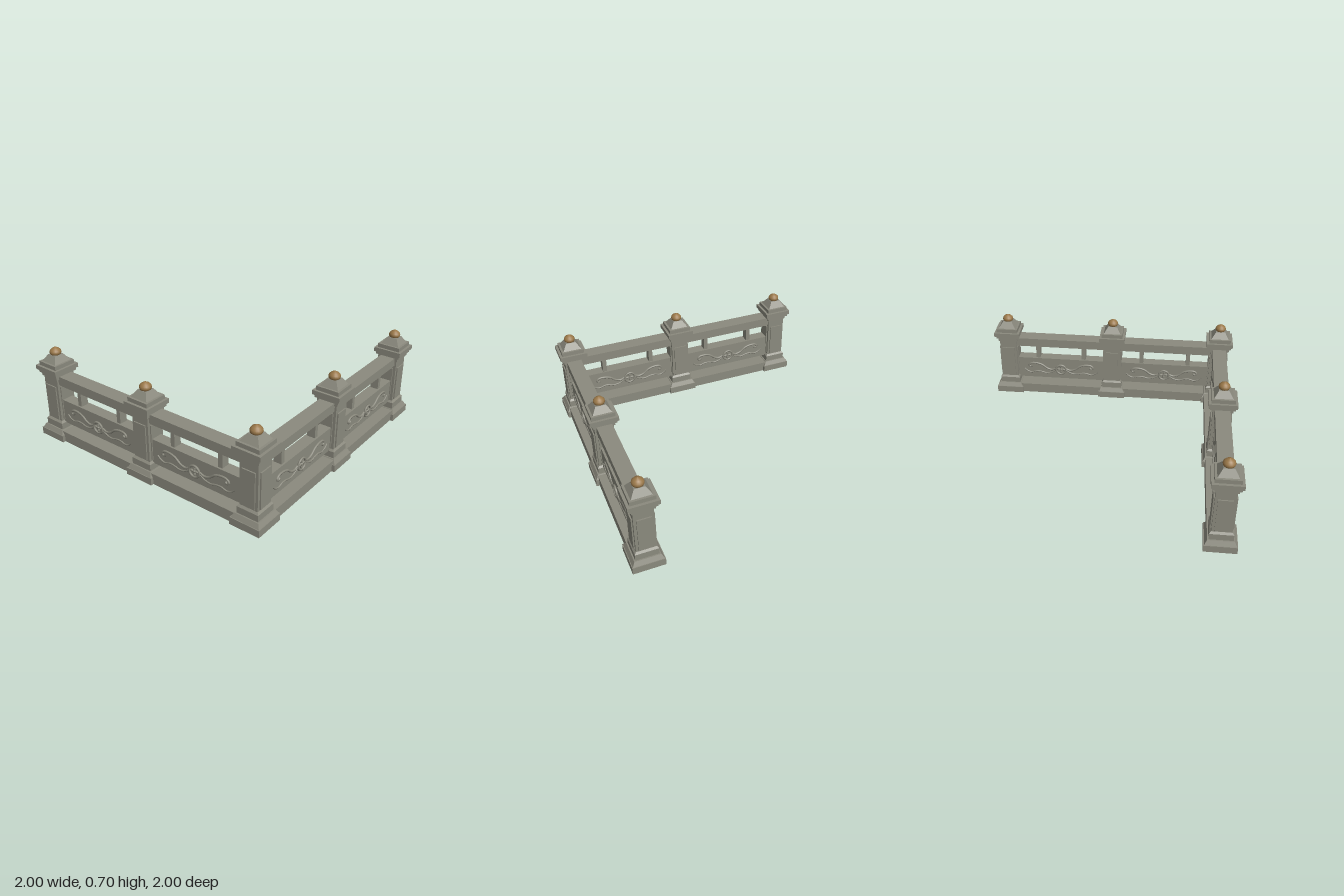
import * as THREE from 'three';

const stone = new THREE.MeshStandardMaterial({ color: 0x8b8a7e });
stone.name = 'weathered stone';
const bronze = new THREE.MeshStandardMaterial({ color: 0x9a7849 });
bronze.name = 'bronze';

const SPAN = 0.886; // distance between post centres

function add(parent, name, geometry, x = 0, y = 0, z = 0, material = stone) {
  const mesh = new THREE.Mesh(geometry, material);
  mesh.name = name;
  mesh.position.set(x, y, z);
  parent.add(mesh);
  return mesh;
}

// Box given by its bottom and top heights
function slab(parent, name, w, y0, y1, d, x = 0, z = 0) {
  return add(parent, name, new THREE.BoxGeometry(w, y1 - y0, d), x, (y0 + y1) / 2, z);
}

// Square frustum given by its bottom and top widths
function frustum(parent, name, w0, w1, y0, y1) {
  const g = new THREE.CylinderGeometry(w1 * Math.SQRT1_2, w0 * Math.SQRT1_2, y1 - y0, 4).toNonIndexed();
  g.rotateY(Math.PI / 4);
  g.computeVertexNormals();
  return add(parent, name, g, 0, (y0 + y1) / 2, 0);
}

function createPost() {
  const post = new THREE.Group();
  post.name = 'post';
  // Stepped foot
  slab(post, 'footSlab', 0.226, 0, 0.053, 0.226);
  frustum(post, 'footSlope', 0.216, 0.182, 0.053, 0.085);
  slab(post, 'plinth', 0.164, 0.085, 0.132, 0.164);
  frustum(post, 'plinthSlope', 0.164, 0.14, 0.132, 0.146);
  // Shaft with a raised panel on each side
  slab(post, 'shaft', 0.138, 0.14, 0.487, 0.138);
  for (let i = 0; i < 4; i++) {
    const side = new THREE.Group();
    side.name = 'shaftPanel';
    side.rotation.y = i * Math.PI / 2;
    slab(side, 'panelPlate', 0.1, 0.155, 0.42, 0.012, 0, 0.072);
    post.add(side);
  }
  // Stepped cap
  slab(post, 'capNeck', 0.158, 0.485, 0.512, 0.158);
  slab(post, 'capStep', 0.184, 0.512, 0.535, 0.184);
  slab(post, 'capSlab', 0.21, 0.535, 0.567, 0.21);
  slab(post, 'capUpperStep', 0.172, 0.567, 0.597, 0.172);
  frustum(post, 'capRoof', 0.14, 0.074, 0.597, 0.646);
  // Bud finial
  const profile = [[0, 0.64], [0.028, 0.641], [0.038, 0.649], [0.042, 0.662], [0.039, 0.675],
    [0.028, 0.687], [0.012, 0.696], [0, 0.701]].map(([r, y]) => new THREE.Vector2(r, y));
  add(post, 'finial', new THREE.LatheGeometry(profile, 20), 0, 0, 0, bronze);
  return post;
}

function tube(points, radius) {
  const curve = new THREE.CatmullRomCurve3(points.map(([x, y]) => new THREE.Vector3(x, y, 0)));
  return new THREE.TubeGeometry(curve, 40, radius, 8);
}

// Scroll relief with a round medallion, centred on the panel
function createRelief() {
  const relief = new THREE.Group();
  relief.name = 'relief';
  const ring = add(relief, 'medallionRing', new THREE.TorusGeometry(0.042, 0.008, 8, 28));
  ring.position.z = 0.006;
  for (let i = 0; i < 4; i++) {
    const a = i * Math.PI / 2;
    const petal = add(relief, 'medallionSpoke', new THREE.SphereGeometry(1, 10, 8),
      Math.cos(a) * 0.021, Math.sin(a) * 0.021, 0.002);
    petal.scale.set(0.02, 0.008, 0.009);
    petal.rotation.z = a;
  }
  const hub = add(relief, 'medallionHub', new THREE.SphereGeometry(0.011, 12, 8));
  hub.position.z = 0.003;
  // Upper curling vine and lower trailing vine on both sides
  const upper = [[0.045, 0.005], [0.08, -0.008], [0.12, 0.003], [0.165, 0.036], [0.215, 0.05],
    [0.26, 0.046], [0.277, 0.026], [0.262, 0.014], [0.248, 0.024]];
  const lower = [[0.046, -0.012], [0.085, -0.035], [0.13, -0.043], [0.175, -0.032],
    [0.215, -0.03], [0.26, -0.042], [0.295, -0.03], [0.32, -0.008]];
  for (const s of [-1, 1]) {
    const mirror = (pts) => pts.map(([x, y]) => [x * s, y]);
    add(relief, 'upperVine', tube(mirror(upper), 0.0085));
    add(relief, 'lowerVine', tube(mirror(lower), 0.006));
  }
  return relief;
}

// One railing section running along x between two posts
function createBay() {
  const bay = new THREE.Group();
  bay.name = 'railingSection';
  const inner = SPAN - 0.13;
  slab(bay, 'baseBeam', SPAN, 0, 0.08, 0.182);
  slab(bay, 'panel', inner, 0.137, 0.315, 0.086);
  slab(bay, 'panelLip', inner, 0.123, 0.137, 0.07);
  slab(bay, 'handrail', inner, 0.442, 0.506, 0.112);
  slab(bay, 'handrailLip', inner, 0.43, 0.442, 0.096);
  for (const s of [-1, 1]) slab(bay, 'baluster', 0.033, 0.31, 0.435, 0.06, s * 0.196);
  for (const s of [-1, 1]) {
    const relief = createRelief();
    relief.position.set(0, 0.217, s * 0.044);
    if (s < 0) relief.rotation.y = Math.PI;
    bay.add(relief);
  }
  return bay;
}

export function createModel() {
  const model = new THREE.Group();
  model.name = 'cornerBalustrade';
  // Five posts along an L
  for (const [x, z] of [[-1, 1], [0, 1], [1, 1], [1, 0], [1, -1]]) {
    const post = createPost();
    post.position.set(x * SPAN, 0, z * SPAN);
    model.add(post);
  }
  // Two sections on each wing
  for (const s of [-0.5, 0.5]) {
    const front = createBay();
    front.position.set(s * SPAN, 0, SPAN);
    const side = createBay();
    side.position.set(SPAN, 0, s * SPAN);
    side.rotation.y = Math.PI / 2;
    model.add(front, side);
  }
  return model;
}
